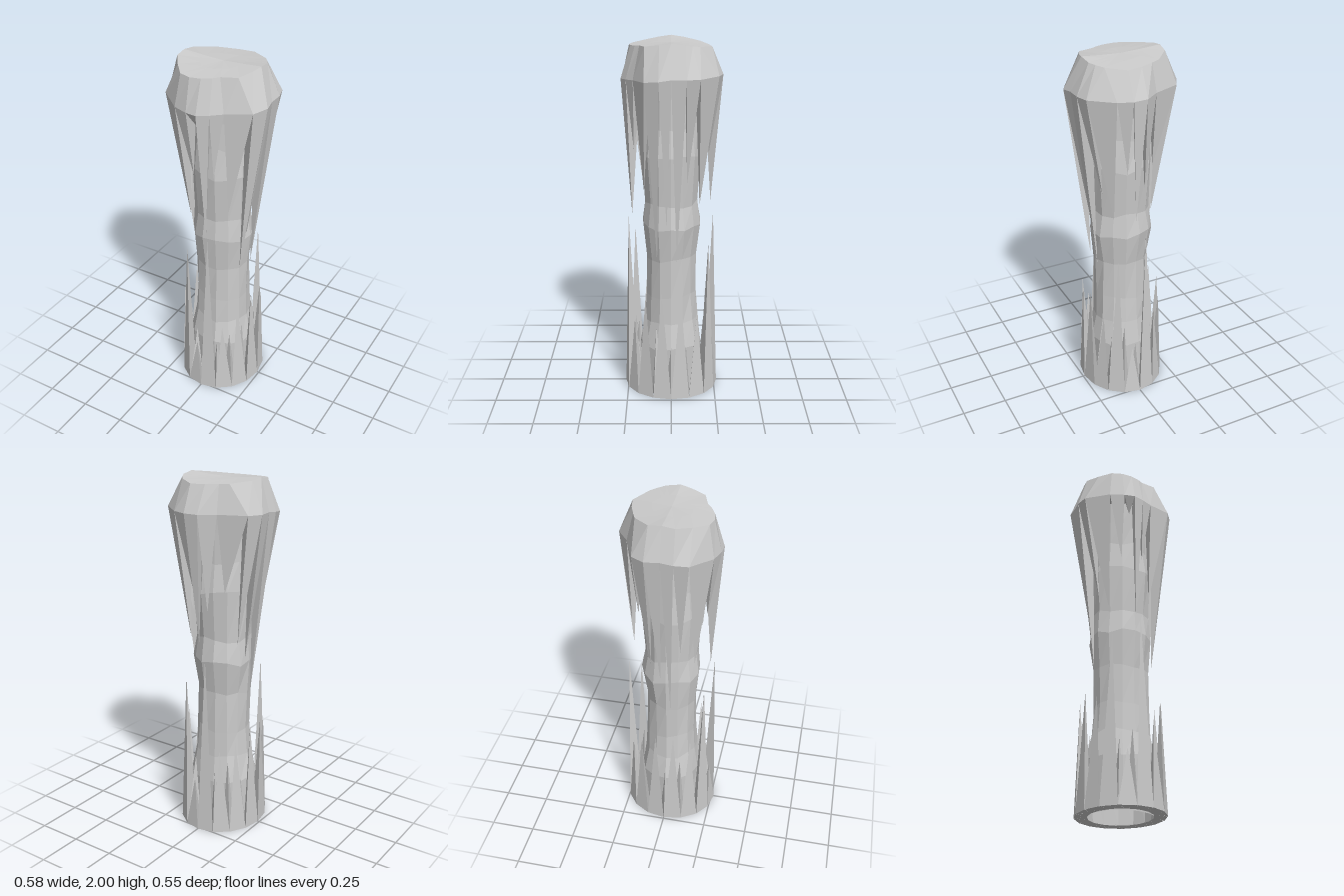
import * as THREE from 'three';

const material = new THREE.MeshStandardMaterial({ color: 0xcccccc, flatShading: true, side: THREE.DoubleSide });

// small seeded noise in -1..1
let seed = 7;
const noise = () => {
  seed = (seed * 16807) % 2147483647;
  return (seed / 2147483647) * 2 - 1;
};

function meshFrom(triangles, name) {
  const geometry = new THREE.BufferGeometry().setFromPoints(triangles);
  geometry.computeVertexNormals();
  const mesh = new THREE.Mesh(geometry, material);
  mesh.name = name;
  return mesh;
}

// Skin between neighbouring rings, listed from bottom to top
function loft(rings) {
  const out = [];
  for (let k = 0; k < rings.length - 1; k++) {
    const low = rings[k], up = rings[k + 1], n = low.length;
    for (let i = 0; i < n; i++) {
      const j = (i + 1) % n;
      out.push(low[i], up[i], low[j], low[j], up[i], up[j]);
    }
  }
  return out;
}

// One three-sided spike per ring segment, with its tip at the given height
function spikes(ring, heights, rx, rz, inset, name) {
  const out = [];
  heights.forEach((h, i) => {
    const a = ring[i], b = ring[(i + 1) % ring.length];
    const mid = a.clone().add(b).multiplyScalar(0.5);
    const inner = new THREE.Vector3(mid.x * inset, mid.y, mid.z * inset);
    const angle = Math.atan2(mid.z, mid.x);
    const tip = new THREE.Vector3(Math.cos(angle) * rx, h, Math.sin(angle) * rz);
    const faces = [[a, tip, b], [b, tip, inner], [inner, tip, a], [a, b, inner]];
    const hanging = h < mid.y;
    faces.forEach(([p, q, r]) => (hanging ? out.push(p, r, q) : out.push(p, q, r)));
  });
  return meshFrom(out, name);
}

const ringAt = (points, y) => points.map(([x, z]) => new THREE.Vector3(x, y(z), z));

export function createModel() {
  const group = new THREE.Group();
  group.name = 'icicleColumn';

  // Faceted, slightly wavy core, a little wider than deep: [height, radius]
  const profile = [[0, 0.165], [0.28, 0.175], [0.43, 0.15], [0.58, 0.142], [0.8, 0.142],
    [0.99, 0.162], [1.12, 0.145], [1.39, 0.16], [1.55, 0.145], [1.7, 0.145], [1.83, 0.15]];
  const sides = 14;
  const coreRings = profile.map(([y, r]) => Array.from({ length: sides }, (_, i) => {
    const a = (i / sides) * Math.PI * 2;
    const rr = r * (1 + noise() * 0.035);
    return new THREE.Vector3(Math.cos(a) * rr * 1.07, y ? y + noise() * 0.015 : 0, Math.sin(a) * rr);
  }));
  group.add(meshFrom(loft(coreRings), 'core'));

  // Cap outlines as [x, z]
  const lipOutline = [[0.28, 0], [0.29, 0.065], [0.25, 0.14], [0.12, 0.2], [0.06, 0.24], [0, 0.27], [-0.06, 0.265],
    [-0.14, 0.24], [-0.26, 0.14], [-0.28, 0.065], [-0.28, 0], [-0.29, -0.08], [-0.25, -0.15], [-0.1, -0.21],
    [-0.02, -0.27], [0.06, -0.275], [0.14, -0.25], [0.26, -0.15], [0.28, -0.08]];
  const topOutline = [[0.215, 0], [0.2, 0.06], [0.165, 0.137], [0.08, 0.165], [0.05, 0.19], [0, 0.215], [-0.06, 0.225],
    [-0.12, 0.21], [-0.18, 0.14], [-0.23, 0.065], [-0.23, 0], [-0.22, -0.07], [-0.14, -0.155], [-0.09, -0.175],
    [-0.02, -0.2], [0.06, -0.215], [0.16, -0.15], [0.19, -0.11], [0.21, -0.075]];
  const half = (points) => points.map(([x, z]) => [x * 0.5, z * 0.5]);
  const lip = ringAt(lipOutline, (z) => 1.825 - Math.max(z, 0) * 0.12);
  const top = ringAt(topOutline, (z) => 1.998 - Math.abs(z) * 0.14);
  const crown = ringAt(half(topOutline), (z) => 1.99 - Math.abs(z) * 0.1);
  const under = ringAt(half(lipOutline), () => 1.82);
  const centre = topOutline.map(() => new THREE.Vector3(0, 1.985, 0));
  group.add(meshFrom(loft([under, lip, top, crown, centre]), 'cap'));

  // Icicles hanging from the cap; those at the sides run down to the core
  group.add(spikes(lip, [1.0, 0.8, 1.2, 1.42, 1.04, 1.7, 1.41, 1.12, 1.2, 0.8,
    1.0, 1.1, 1.4, 1.3, 1.12, 1.4, 1.12, 1.25, 0.8], 0.16, 0.218, 0.63, 'hangingIcicles'));

  // Spikes rising from the ground ring
  const count = 16;
  const groundRing = Array.from({ length: count }, (_, i) => {
    const a = (i / count) * Math.PI * 2;
    return new THREE.Vector3(Math.cos(a) * 0.24, 0, Math.sin(a) * 0.267);
  });
  group.add(spikes(groundRing, [0.64, 0.6, 0.45, 1.04, 0.3, 0.93, 0.6, 0.64,
    0.62, 0.55, 0.5, 1.04, 0.3, 0.9, 0.5, 0.63], 0.218, 0.24, 0.73, 'groundSpikes'));

  // Shorter spikes that fill the gaps on the inside of the ground ring
  const innerRing = groundRing.map((p, i) => p.clone().add(groundRing[(i + 1) % count]).multiplyScalar(0.365)).reverse();
  group.add(spikes(innerRing, innerRing.map((_, i) => 0.3 + 0.06 * (i % 3)), 0.19, 0.2, 1.4, 'innerSpikes'));

  return group;
}
